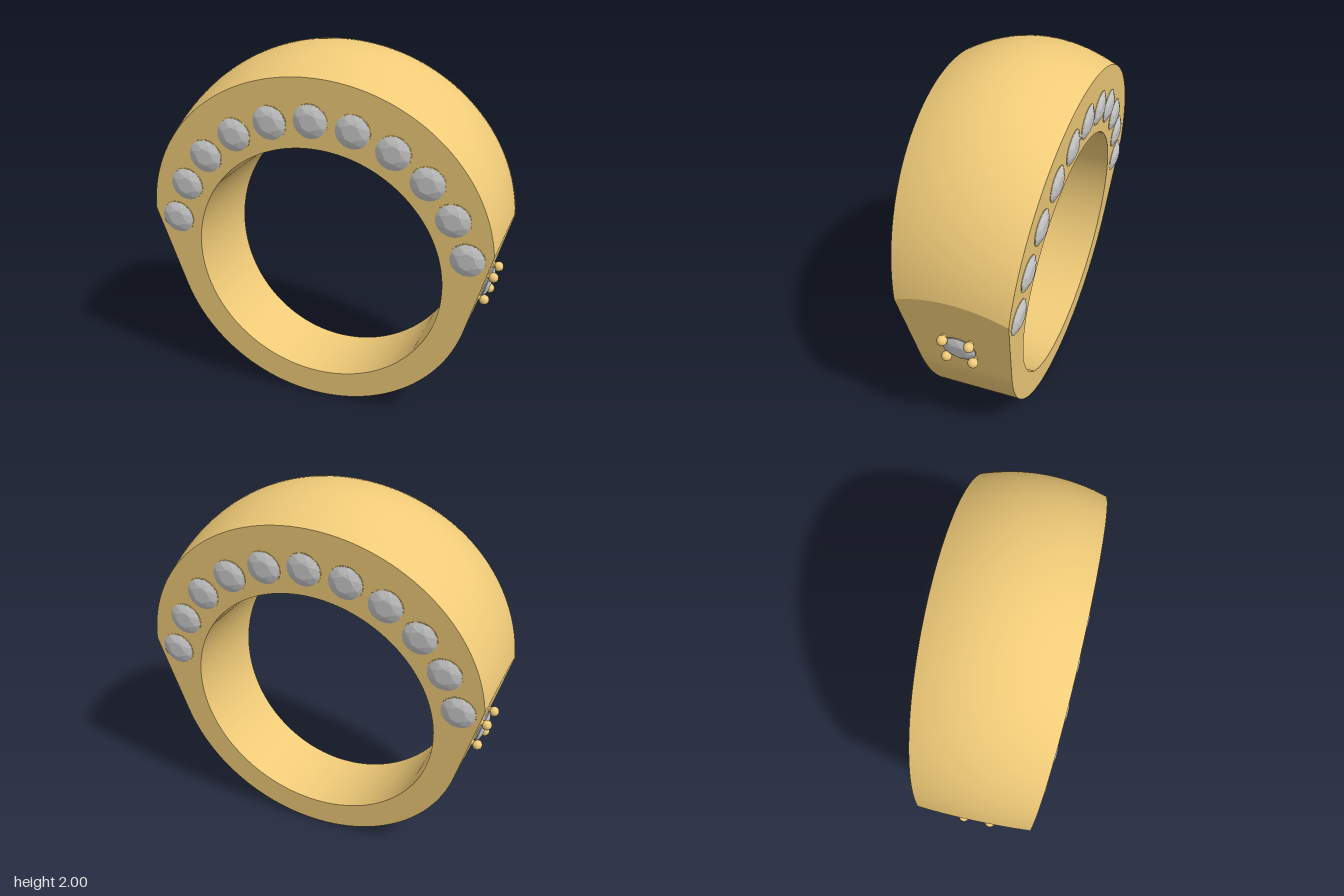
import * as THREE from 'three';
import { toCreasedNormals } from 'three/addons/utils/BufferGeometryUtils.js';
import { ConvexGeometry } from 'three/addons/geometries/ConvexGeometry.js';

const CY = 0.84;              // height of the finger hole's centre
const HOLE = 0.685;           // finger hole radius
const SHANK = 0.84;           // outer radius of the lower band
const LEAN = 0.291;           // outward lean of the flat flanks
const TAPER = 0.0897;         // widening of the band with height
const halfWidth = (y) => 0.2 + TAPER * y;

// Distance from the hole's centre to the flank plane and to the crowned top
const flankR = (a) => SHANK / Math.cos(a + LEAN);
function domeR(a, z) {
  const k = 0.28 + 0.487 * Math.max(0, Math.sin(a)) ** 2;
  const R = 0.97 - k * z * z, up = 0.19;
  return up * Math.sin(a) + Math.sqrt(R * R - (up * Math.cos(a)) ** 2);
}

// Point on the band at angle a, s = -1..1 across its width
function bandPoint(a, s, radiusAt) {
  let z = s * 0.3, r = 0;
  for (let i = 0; i < 8; i++) {
    r = radiusAt(a, z);
    z = s * halfWidth(CY + r * Math.sin(a));
  }
  return [r * Math.cos(a), CY + r * Math.sin(a), z];
}

// Angle of the shoulder, where flank and crowned top meet
function shoulderAngle(s) {
  let lo = 0, hi = 0.6;
  for (let i = 0; i < 30; i++) {
    const m = (lo + hi) / 2;
    const z = s * halfWidth(CY + flankR(m) * Math.sin(m));
    if (flankR(m) < domeR(m, z)) lo = m; else hi = m;
  }
  return lo;
}

// Right half of one outline: lower arc, flank, crowned top
function halfOutline(s) {
  const pts = [];
  const run = (from, to, n, fn) => {
    for (let i = 0; i < n; i++) {
      const a = from + ((to - from) * i) / n;
      pts.push({ a, p: bandPoint(a, s, fn) });
    }
  };
  const sh = shoulderAngle(s);
  run(-Math.PI / 2, -LEAN, 28, () => SHANK);
  run(-LEAN, sh, 8, flankR);
  run(sh, Math.PI / 2, 44, domeR);
  pts.push({ a: Math.PI / 2, p: bandPoint(Math.PI / 2, s, domeR) });
  return pts;
}

function bandGeometry() {
  const ROWS = 18, rows = [];
  const mirrorLoop = (half) => [
    ...half,
    ...half.slice(1, -1).reverse().map(([x, y, z]) => [-x, y, z]),
  ];
  for (let j = 0; j <= ROWS; j++) {
    rows.push(mirrorLoop(halfOutline((2 * j) / ROWS - 1).map((q) => q.p)));
  }
  // finger hole wall
  const angles = halfOutline(1).map((q) => q.a);
  for (const s of [1, 0, -1]) {
    rows.push(mirrorLoop(angles.map((a) => bandPoint(a, s, () => HOLE))));
  }
  const n = rows[0].length, m = rows.length, index = [];
  for (let j = 0; j < m; j++) {
    for (let i = 0; i < n; i++) {
      const i2 = (i + 1) % n, j2 = (j + 1) % m;
      const a = j * n + i, b = j * n + i2, c = j2 * n + i2, d = j2 * n + i;
      index.push(a, b, c, a, c, d);
    }
  }
  const g = new THREE.BufferGeometry();
  g.setAttribute('position', new THREE.Float32BufferAttribute(rows.flat(2), 3));
  g.setIndex(index);
  return toCreasedNormals(g, 0.24);
}

// Round brilliant cut, table facing +z, girdle at z = 0
function gemGeometry(r) {
  const pts = [new THREE.Vector3(0, 0, -0.6 * r)];
  const ring = (n, rad, z, turn) => {
    for (let i = 0; i < n; i++) {
      const a = ((i + turn) / n) * Math.PI * 2;
      pts.push(new THREE.Vector3(r * rad * Math.cos(a), r * rad * Math.sin(a), r * z));
    }
  };
  ring(8, 0.52, 0.22, 0);
  ring(8, 0.77, 0.145, 0.5);
  ring(32, 1, 0.02, 0);
  ring(32, 1, -0.03, 0);
  return new ConvexGeometry(pts);
}

export function createModel() {
  const model = new THREE.Group();
  const gold = new THREE.MeshStandardMaterial({ color: 0xf0cb78 });
  const stone = new THREE.MeshStandardMaterial({ color: 0xcccccc, flatShading: true });
  const add = (parent, name, geo, mat, x = 0, y = 0, z = 0) => {
    const mesh = new THREE.Mesh(geo, mat);
    mesh.name = name;
    mesh.position.set(x, y, z);
    parent.add(mesh);
    return mesh;
  };
  // Group whose +z axis points along the given normal
  const mount = (name, x, y, z, normal) => {
    const g = new THREE.Group();
    g.name = name;
    g.position.set(x, y, z);
    g.quaternion.setFromUnitVectors(new THREE.Vector3(0, 0, 1), normal.normalize());
    model.add(g);
    return g;
  };

  add(model, 'band', bandGeometry(), gold);

  // Arc of eleven stones on the front and back faces, each in a thin seat
  const gem = gemGeometry(0.09);
  const seat = new THREE.CylinderGeometry(0.094, 0.094, 0.01, 40).rotateX(Math.PI / 2);
  for (const side of [1, -1]) {
    for (let i = -5; i <= 5; i++) {
      const a = Math.PI / 2 + i * 0.2695;
      const x = 0.83 * Math.cos(a), y = CY + 0.83 * Math.sin(a);
      const g = mount('faceStone', x, y, side * halfWidth(y), new THREE.Vector3(0, -TAPER, side));
      add(g, 'stoneSeat', seat, gold, 0, 0, -0.003);
      add(g, 'gem', gem, stone, 0, 0, 0.001);
    }
  }

  // Stone held by four prongs on each flank
  const bead = new THREE.SphereGeometry(0.027, 20, 14);
  const stem = new THREE.CylinderGeometry(0.015, 0.015, 0.05, 12).rotateX(Math.PI / 2);
  for (const side of [1, -1]) {
    const y = 0.783, r = SHANK / Math.cos(LEAN) + (y - CY) * Math.tan(LEAN);
    const normal = new THREE.Vector3(side * Math.cos(LEAN), -Math.sin(LEAN), 0);
    const g = mount('flankStone', side * r, y, 0, normal);
    add(g, 'gem', gem, stone, 0, 0, 0.012);
    // prongs are laid out on the flank's own slope
    const up = new THREE.Vector3(side * Math.sin(LEAN), Math.cos(LEAN), 0);
    const inv = g.quaternion.clone().invert();
    for (const u of [1, -1]) {
      for (const v of [1, -1]) {
        const p = up.clone().multiplyScalar(u * 0.071);
        p.z = v * 0.071;
        p.applyQuaternion(inv);
        add(g, 'prongBead', bead, gold, p.x, p.y, 0.03);
        add(g, 'prongStem', stem, gold, p.x, p.y, 0.005);
      }
    }
  }
  return model;
}
